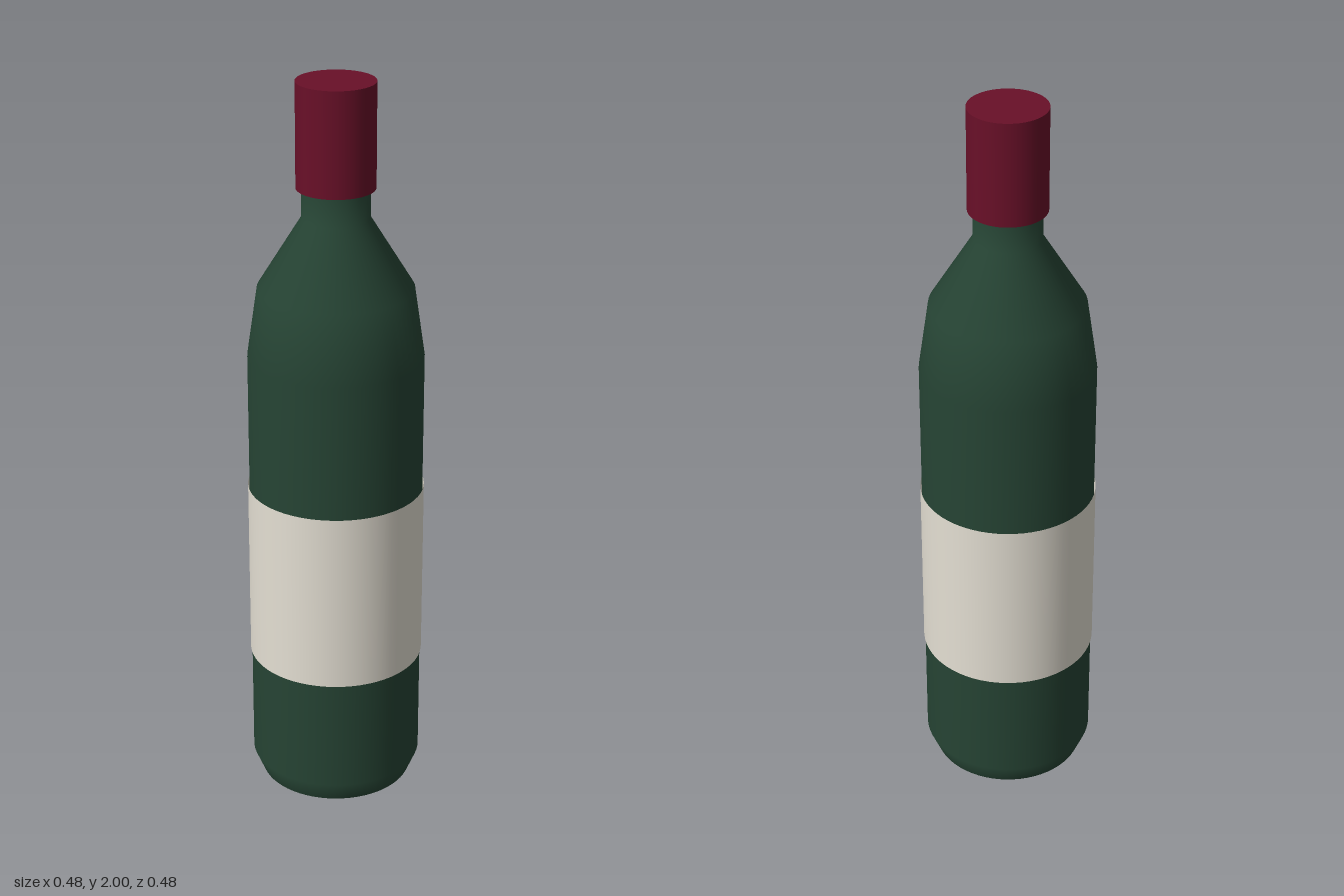
import * as THREE from 'three';

const SEGMENTS = 64;

function makeMaterial(name, color) {
  const material = new THREE.MeshStandardMaterial({ color });
  material.name = name;
  return material;
}

export function createModel() {
  const model = new THREE.Group();
  model.name = 'wineBottle';

  const glass = makeMaterial('green glass', 0x264434);
  const paper = makeMaterial('cream paper', 0xe4dfd3);
  const foil = makeMaterial('burgundy foil', 0x691028);
  paper.side = THREE.DoubleSide;

  const add = (name, geometry, material, y = 0) => {
    const mesh = new THREE.Mesh(geometry, material);
    mesh.name = name;
    mesh.position.y = y;
    model.add(mesh);
    return mesh;
  };

  // Bottle wall: bevelled foot, straight body, shoulder and neck
  const profile = [
    [0.21, 0], [0.235, 0.06], [0.235, 1.26],
    [0.207, 1.45], [0.09, 1.64], [0.09, 1.75],
  ].map(([r, y]) => new THREE.Vector2(r, y));
  add('bottleBody', new THREE.LatheGeometry(profile, SEGMENTS), glass);

  // Flat underside, kept separate for a crisp rim
  add('bottleBase', new THREE.CircleGeometry(0.21, SEGMENTS).rotateX(Math.PI / 2), glass);

  // Paper band wrapped all the way round
  add('label', new THREE.CylinderGeometry(0.239, 0.239, 0.505, SEGMENTS, 1, true), paper, 0.6325);

  // Foil capsule over the mouth
  add('capsule', new THREE.CylinderGeometry(0.104, 0.104, 0.28, SEGMENTS), foil, 1.86);

  return model;
}
